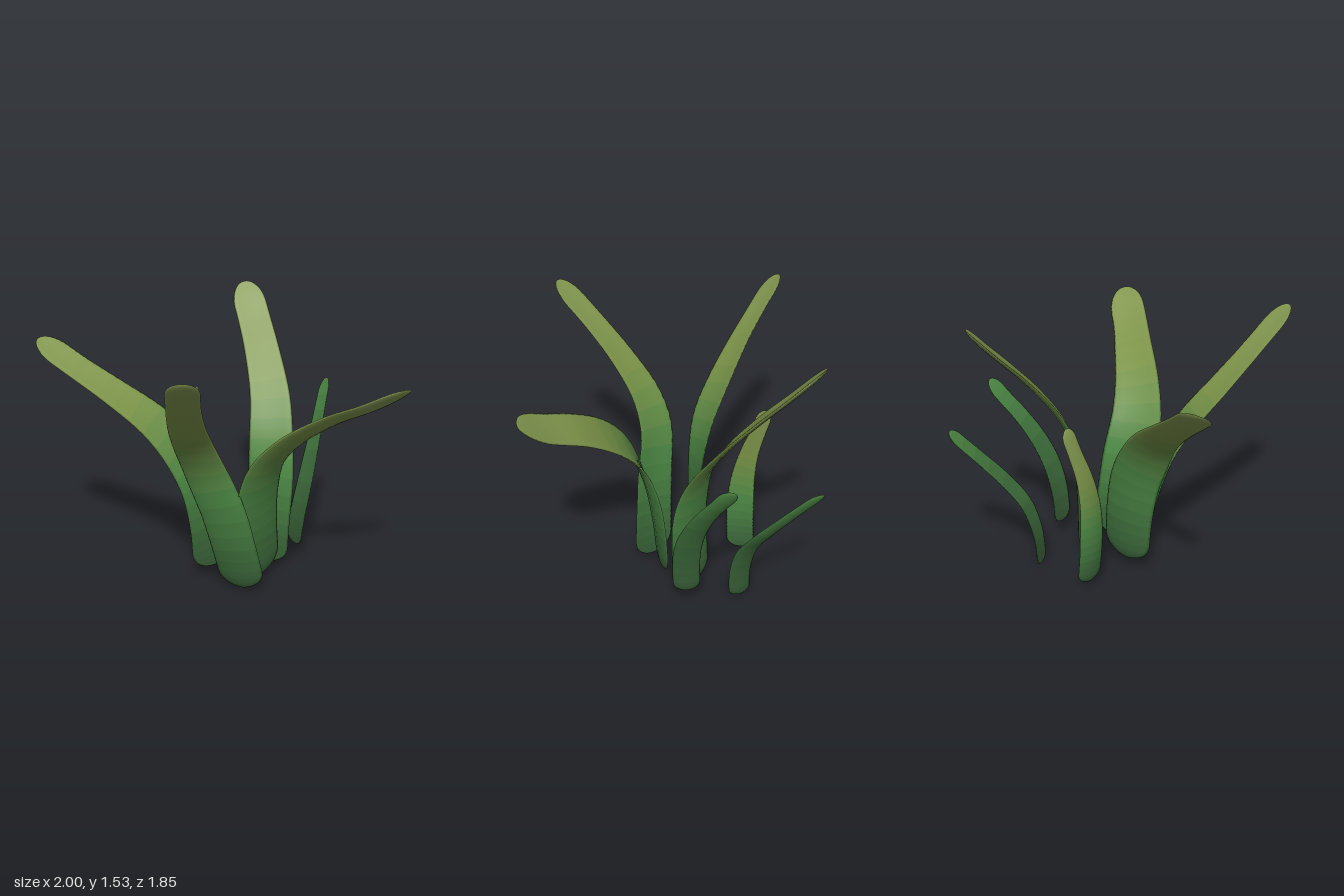
import * as THREE from 'three';

const ROWS = 48, SIDES = 14, BANDS = 24;
const V = (a) => new THREE.Vector3(...a);

// Colour bands running from the dark base to the olive tip
const stops = [0x335634, 0x3c6a3a, 0x4d8a45, 0x7c9448, 0x849850, 0x849850].map((c) => new THREE.Color(c));
const bandMaterials = Array.from({ length: BANDS }, (_, i) => {
  const s = (i / (BANDS - 1)) * (stops.length - 1);
  const k = Math.min(Math.floor(s), stops.length - 2);
  return new THREE.MeshStandardMaterial({ color: stops[k].clone().lerp(stops[k + 1], s - k) });
});

// Rounded at both ends: blunt foot, longer tip
function outline(t, foot, tip) {
  if (t < foot) return Math.sqrt(1 - (1 - t / foot) ** 2);
  if (t > 1 - tip) return Math.sqrt(Math.max(0, 1 - ((t - 1 + tip) / tip) ** 2));
  return 1;
}

// Sweeps a thin cupped section along the spine; across = width directions from foot to tip,
// ripeness = how far along the colour bands the tip reaches
function leaf(name, { spine, across, base, tip, thick = 0.011, ripeness = 1 }) {
  const curve = new THREE.CatmullRomCurve3(spine.map(V));
  const side = new THREE.CatmullRomCurve3(across.map(V));
  const length = curve.getLength();
  const pos = [], index = [];
  for (let i = 0; i <= ROWS; i++) {
    const t = (1 - Math.cos((Math.PI * i) / ROWS)) / 2;
    const c = curve.getPointAt(t), d = curve.getTangentAt(t);
    const w = side.getPoint(t);
    w.addScaledVector(d, -w.dot(d)).normalize();
    const n = new THREE.Vector3().crossVectors(d, w);
    const round = outline(t, (0.4 * base) / length, (0.85 * tip) / length);
    const half = 0.5 * round * THREE.MathUtils.lerp(base, tip, THREE.MathUtils.smoothstep(t, 0.25, 0.9));
    for (let j = 0; j < SIDES; j++) {
      const a = (j / SIDES) * Math.PI * 2, u = Math.cos(a);
      const p = c.clone().addScaledVector(w, half * u)
        .addScaledVector(n, thick * round * Math.sin(a) + 0.14 * half * (u * u - 0.5));
      pos.push(p.x, p.y, p.z);
    }
  }
  const geometry = new THREE.BufferGeometry();
  for (let i = 0; i < ROWS; i++) {
    for (let j = 0; j < SIDES; j++) {
      const k = (j + 1) % SIDES, r = i * SIDES, q = r + SIDES;
      index.push(r + j, r + k, q + k, r + j, q + k, q + j);
    }
  }
  const perBand = index.length / BANDS;
  for (let b = 0; b < BANDS; b++) geometry.addGroup(b * perBand, perBand, Math.round(b * ripeness));
  geometry.setAttribute('position', new THREE.Float32BufferAttribute(pos, 3));
  geometry.setIndex(index);
  geometry.computeVertexNormals();
  const mesh = new THREE.Mesh(geometry, bandMaterials);
  mesh.name = name;
  return mesh;
}

export function createModel() {
  const plant = new THREE.Group();
  plant.name = 'leafyPlant';

  // Four large arching leaves
  plant.add(leaf('frontLeaf', {
    spine: [[0.13, 0.02, 0.13], [0.09, 0.25, 0.17], [0.04, 0.5, 0.215], [-0.03, 0.75, 0.28],
      [-0.045, 0.92, 0.38], [-0.015, 1.1, 0.54], [0.045, 1.28, 0.71], [0.14, 1.5, 0.92]],
    across: [[1, 0, 0], [1, 0, -0.1], [1, 0.05, -0.3], [1, 0.05, -0.35]], base: 0.27, tip: 0.17,
  }));
  plant.add(leaf('leftLeaf', {
    spine: [[0.17, 0.04, 0], [0.17, 0.3, 0.03], [0.195, 0.57, 0.07], [0.26, 0.78, 0.11],
      [0.39, 0.94, 0.12], [0.6, 1.09, 0.11], [0.8, 1.19, 0.1], [1, 1.305, 0.07]],
    across: [[0.5, 0, -0.85], [0.35, -0.15, -0.92], [0.15, -0.4, -0.9], [0.05, -0.4, -0.9]], base: 0.33, tip: 0.21,
  }));
  plant.add(leaf('rightLeaf', {
    spine: [[-0.09, 0.07, 0.03], [-0.11, 0.35, 0.04], [-0.16, 0.6, 0.07], [-0.26, 0.8, 0.12],
      [-0.4, 0.96, 0.16], [-0.6, 1.12, 0.22], [-0.8, 1.26, 0.27], [-1, 1.4, 0.31]],
    across: [[-0.6, 0, 0.8], [-0.45, -0.1, 0.9], [-0.05, -0.38, 0.93], [0, -0.42, 0.93]], base: 0.29, tip: 0.17,
  }));
  plant.add(leaf('backLeaf', {
    spine: [[0.13, 0.02, -0.22], [0.14, 0.3, -0.22], [0.15, 0.55, -0.235], [0.13, 0.78, -0.285],
      [0.08, 0.98, -0.39], [-0.03, 1.2, -0.54], [-0.13, 1.36, -0.66], [-0.24, 1.53, -0.78]],
    across: [[-1, 0, 0], [-1, 0, 0.1], [-0.8, -0.25, 0.5], [-0.8, -0.25, 0.5]], base: 0.27, tip: 0.19,
  }));

  // Three small young leaves around the back
  plant.add(leaf('smallBackLeftLeaf', {
    spine: [[0.265, 0.11, -0.33], [0.285, 0.3, -0.345], [0.305, 0.47, -0.385], [0.315, 0.64, -0.46],
      [0.315, 0.8, -0.56], [0.31, 0.92, -0.65], [0.31, 1.02, -0.72]],
    across: [[-0.8, 0, -0.6], [-0.75, 0, -0.6], [-0.7, 0, -0.7]],
    base: 0.15, tip: 0.1, thick: 0.008, ripeness: 0.45,
  }));
  plant.add(leaf('smallBackLeaf', {
    spine: [[-0.02, 0, -0.455], [0, 0.2, -0.475], [0.01, 0.38, -0.535], [0, 0.53, -0.635],
      [-0.05, 0.7, -0.76], [-0.12, 0.91, -0.92]],
    across: [[-0.9, 0, -0.35], [-0.9, 0, -0.4], [-0.9, 0, -0.35]],
    base: 0.125, tip: 0.095, thick: 0.008, ripeness: 0.45,
  }));
  plant.add(leaf('smallRightLeaf', {
    spine: [[-0.28, 0.04, -0.185], [-0.285, 0.25, -0.17], [-0.295, 0.5, -0.17], [-0.31, 0.7, -0.2],
      [-0.325, 0.87, -0.25], [-0.335, 1.02, -0.295]],
    across: [[0.62, 0, 0.78], [0.6, 0, 0.8], [0.6, 0, 0.8]], base: 0.16, tip: 0.085, thick: 0.008,
  }));
  return plant;
}
